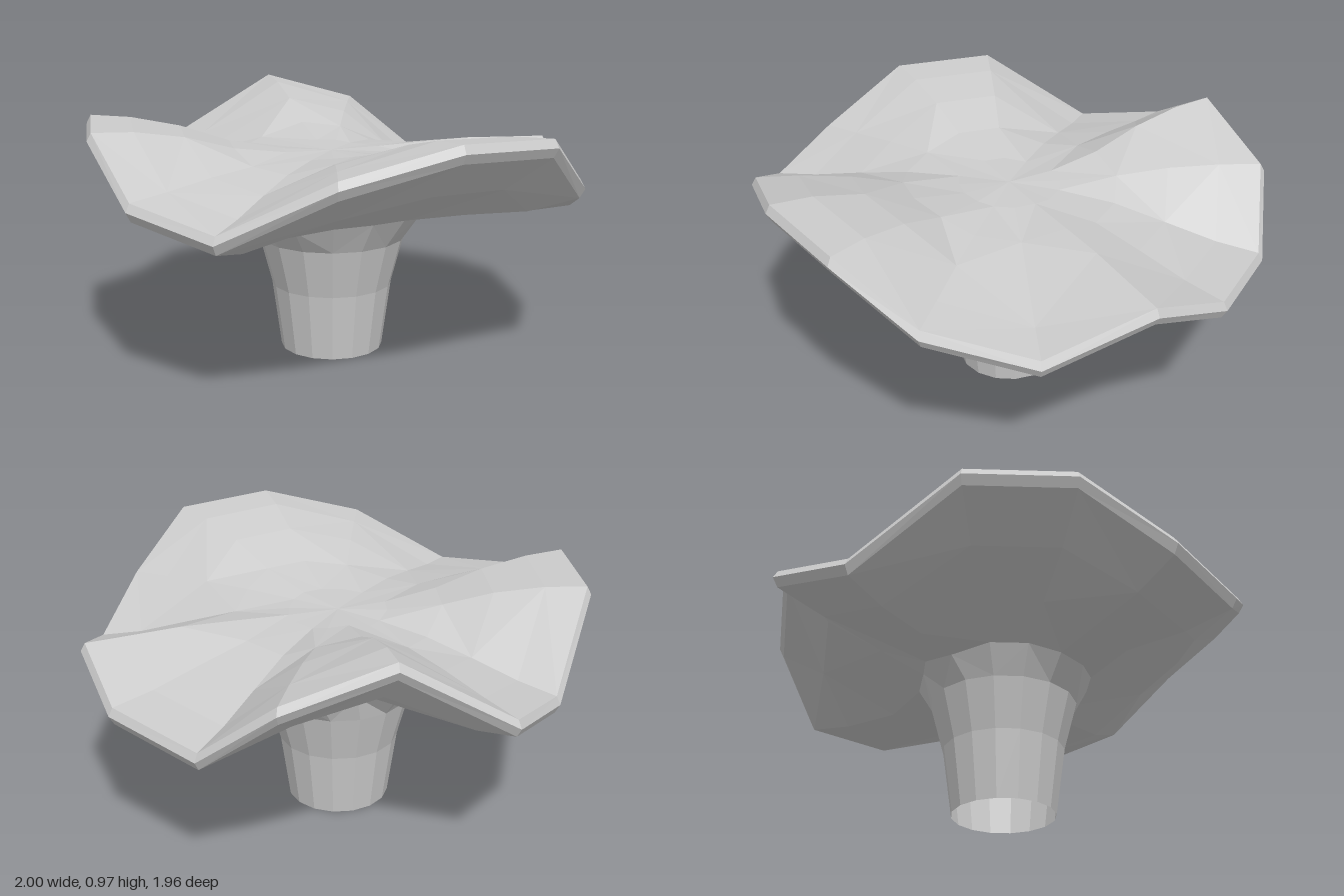
import * as THREE from 'three';

// Wavy rim of the cap, going round from +x towards +z: x, height, z
const RIM = [
  [1, 0.95, -0.05], [0.91, 0.97, 0.33], [0.68, 0.87, 0.67], [0.36, 0.68, 0.91],
  [0, 0.74, 0.98], [-0.35, 0.92, 0.88], [-0.68, 0.92, 0.65], [-0.89, 0.67, 0.27],
  [-1, 0.73, -0.05], [-0.79, 0.965, -0.4], [-0.61, 0.85, -0.75], [-0.36, 0.63, -0.9],
  [0.05, 0.66, -0.98], [0.37, 0.77, -0.9], [0.68, 0.63, -0.66], [0.92, 0.75, -0.35],
];

// Joins rings of equal length, listed from the bottom outwards and up
function loft(rings, name, closeTop) {
  const n = rings[0].length, index = [], points = rings.flat(2);
  for (let r = 0; r < rings.length - 1; r++) {
    for (let i = 0; i < n; i++) {
      const a = r * n + i, b = r * n + (i + 1) % n;
      // alternate the diagonals for an irregular, hand-cut look
      if ((i + r) % 2) index.push(a, a + n, b, b, a + n, b + n);
      else index.push(a, b + n, b, a, a + n, b + n);
    }
  }
  if (closeTop) {
    const start = (rings.length - 1) * n, centre = rings.length * n;
    points.push(0, closeTop, 0);
    for (let i = 0; i < n; i++) index.push(start + i, centre, start + (i + 1) % n);
  }
  const g = new THREE.BufferGeometry();
  g.setAttribute('position', new THREE.Float32BufferAttribute(points, 3));
  g.setIndex(index);
  const flat = g.toNonIndexed();
  flat.computeVertexNormals();
  const mesh = new THREE.Mesh(flat, new THREE.MeshStandardMaterial({
    color: 0xcccccc, flatShading: true, side: THREE.DoubleSide,
  }));
  mesh.name = name;
  return mesh;
}

// Ring of the cap: rim scaled by f, height = base + share of the rim's wave
const capRing = (f, base, wave) =>
  RIM.map(([x, y, z]) => [x * f, base + wave * (y - 0.78), z * f]);

const stemRing = (r, y) => RIM.map((_, i) => {
  const a = (i / RIM.length) * Math.PI * 2;
  return [Math.cos(a) * r, y, Math.sin(a) * r];
});

export function createModel() {
  const group = new THREE.Group();
  const neck = capRing(0.36, 0.55, 0.08);

  // Cap: underside, narrow bevelled rim and a top that levels out in the middle
  group.add(loft([
    neck,
    capRing(0.55, 0.59, 0.33),
    capRing(0.79, 0.637, 0.65),
    capRing(0.98, 0.715, 1),
    capRing(1, 0.75, 1),
    capRing(0.983, 0.78, 1),
    capRing(0.82, 0.787, 0.89),
    capRing(0.62, 0.795, 0.6),
    capRing(0.42, 0.79, 0.23),
    capRing(0.2, 0.785, 0.04),
  ], 'cap', 0.785));

  // Stem: hollow base, flaring into the underside of the cap
  group.add(loft([
    stemRing(0.2, 0),
    stemRing(0.235, 0.26),
    stemRing(0.285, 0.45),
    neck,
  ], 'stem'));

  return group;
}
